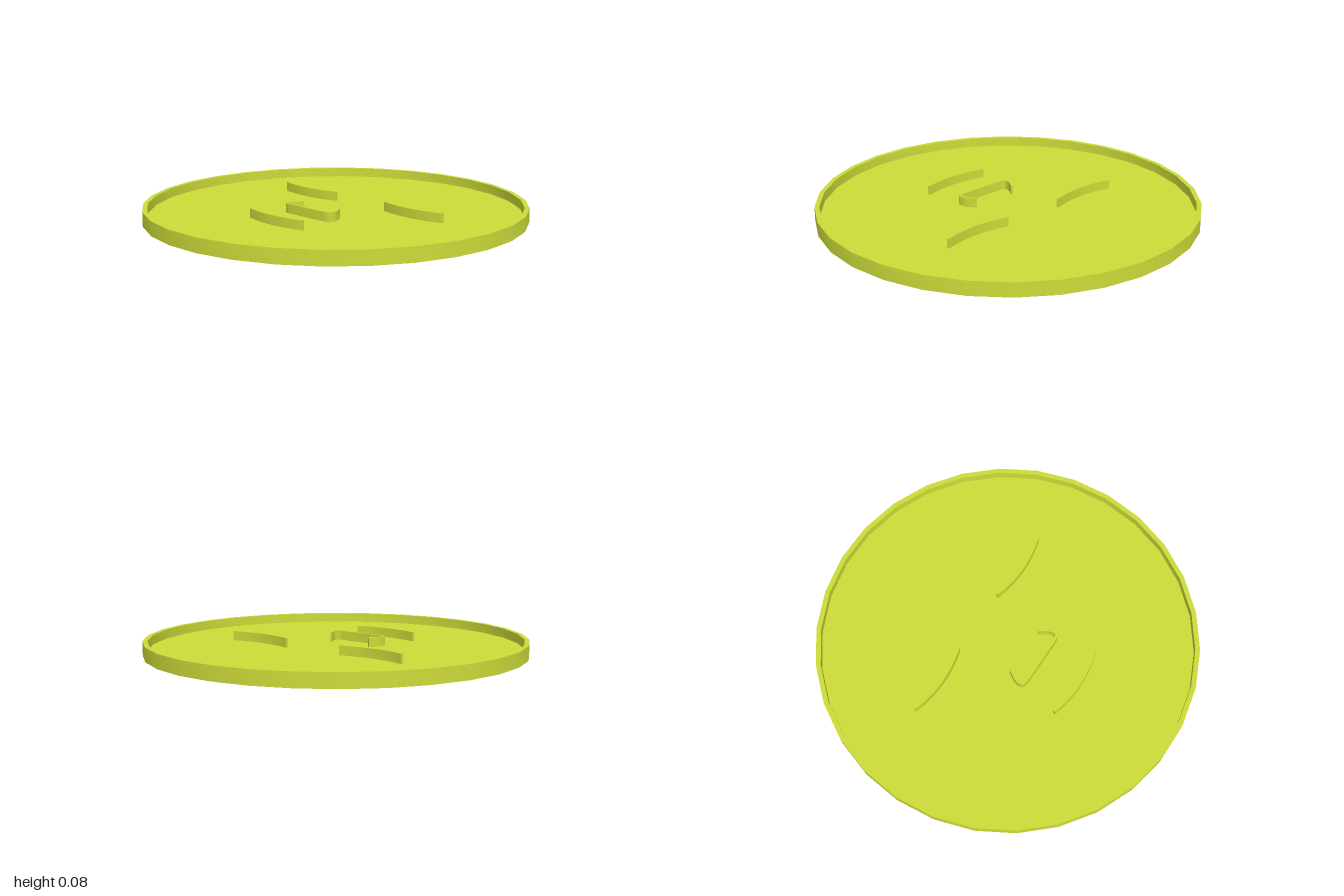
import * as THREE from 'three';
import { toCreasedNormals } from 'three/addons/utils/BufferGeometryUtils.js';

const FLOOR = 0.025, TOP = 0.075;
const lime = new THREE.MeshStandardMaterial({ color: 0xcddc39 });
lime.name = 'lime';

function addPart(group, name, geometry) {
  const mesh = new THREE.Mesh(toCreasedNormals(geometry, 0.6), lime);
  mesh.name = name;
  group.add(mesh);
}

// Upright ridge of constant width along a path of [x, z] points
function ridge(path, width = 0.013) {
  const pts = path.map(([x, z]) => new THREE.Vector2(x, -z));
  const side = (sign) => pts.map((p, i) => {
    const a = pts[Math.max(i - 1, 0)], b = pts[Math.min(i + 1, pts.length - 1)];
    const t = b.clone().sub(a).normalize();
    return new THREE.Vector2(p.x - t.y * sign * width / 2, p.y + t.x * sign * width / 2);
  });
  const shape = new THREE.Shape([...side(1), ...side(-1).reverse()]);
  const geo = new THREE.ExtrudeGeometry(shape, { depth: TOP - FLOOR, bevelEnabled: false });
  return geo.rotateX(-Math.PI / 2).translate(0, FLOOR, 0);
}

// Shallow curve sagging towards +z
function sag(cx, halfWidth, zEnd, depth) {
  return Array.from({ length: 11 }, (_, i) => {
    const u = i / 5 - 1;
    return [cx + u * halfWidth, zEnd + depth * (1 - u * u)];
  });
}

export function createModel() {
  const group = new THREE.Group();
  group.name = 'faceDish';

  // Dish: underside, outer wall, rim, inner wall and floor
  const profile = [[0, 0], [1, 0], [1, TOP], [0.975, TOP], [0.975, FLOOR], [0, FLOOR]]
    .map(([r, y]) => new THREE.Vector2(r, y));
  addPart(group, 'dish', new THREE.LatheGeometry(profile, 30).rotateY(Math.PI / 2));

  // Closed eyes and mouth
  addPart(group, 'leftEye', ridge(sag(0.377, 0.197, -0.186, 0.03)));
  addPart(group, 'rightEye', ridge(sag(-0.377, 0.197, -0.186, 0.03)));
  addPart(group, 'mouth', ridge(sag(0, 0.196, 0.413, 0.03)));

  // Nose: half outline mirrored across x = 0
  const half = [[0.13, 0.107], [0.158, 0.15], [0.166, 0.175], [0.163, 0.195], [0.15, 0.204], [0.13, 0.207]];
  addPart(group, 'nose', ridge([...half.map(([x, z]) => [-x, z]), ...half.slice().reverse()]));

  return group;
}
